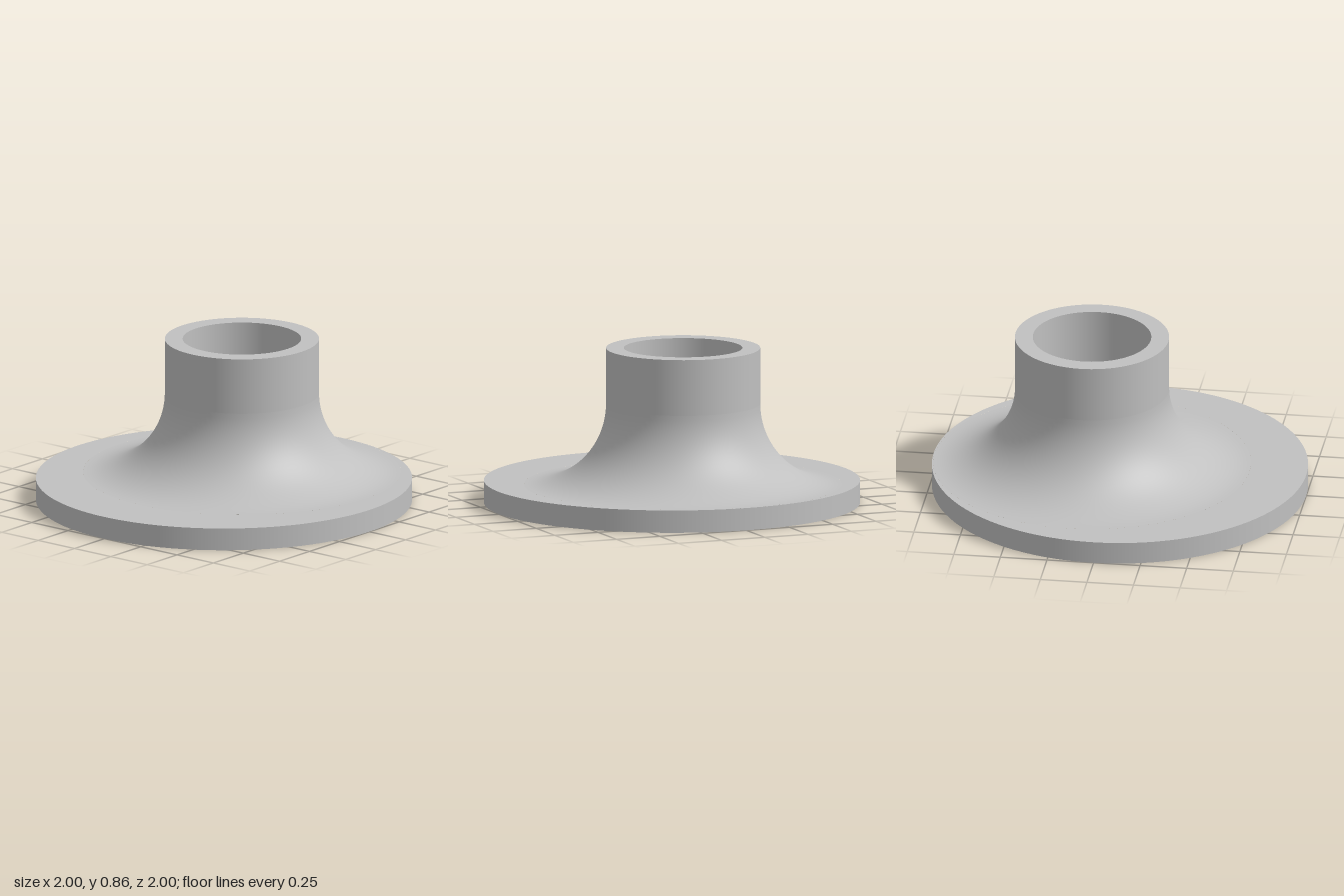
import * as THREE from 'three';

const SEG = 96;
const FLANGE_R = 1, FLANGE_H = 0.12, TOP = 0.855;
const HUB_X = 0.15, HUB_R = 0.41, BORE_R = 0.315, FILLET = 0.435;

export function createModel() {
  const group = new THREE.Group();
  const metal = new THREE.MeshStandardMaterial({ color: 0xc0c0c0 });
  metal.name = 'grey metal';

  const add = (name, geometry, x = 0, y = 0) => {
    const mesh = new THREE.Mesh(geometry, metal);
    mesh.name = name;
    mesh.position.set(x, y, 0);
    group.add(mesh);
  };
  // Separate lathes keep the rims sharp
  const lathe = (points) =>
    new THREE.LatheGeometry(points.map(([r, y]) => new THREE.Vector2(r, y)), SEG);
  // Flange face with a hole around the offset hub axis
  const face = (holeRadius, turn) => {
    const shape = new THREE.Shape().absarc(0, 0, FLANGE_R, 0, Math.PI * 2, false);
    shape.holes.push(new THREE.Path().absarc(HUB_X, 0, holeRadius, 0, Math.PI * 2, true));
    return new THREE.ShapeGeometry(shape, SEG).rotateX(turn);
  };

  // Round flange
  add('flangeRim', lathe([[FLANGE_R, 0], [FLANGE_R, FLANGE_H]]));
  add('flangeTop', face(HUB_R + FILLET, -Math.PI / 2), 0, FLANGE_H);
  add('flangeBottom', face(BORE_R, Math.PI / 2));

  // Flared neck rising into the straight tube
  const profile = [];
  for (let i = 0; i <= 24; i++) {
    const a = (i / 24) * Math.PI / 2;
    profile.push([
      HUB_R + FILLET * (1 - Math.sin(a)),
      FLANGE_H + FILLET * (1 - Math.cos(a)),
    ]);
  }
  add('flaredNeck', lathe(profile), HUB_X);
  add('tubeWall', lathe([[HUB_R, FLANGE_H + FILLET], [HUB_R, TOP]]), HUB_X);

  // Tube rim and through bore
  add('tubeRim', lathe([[HUB_R, TOP], [BORE_R, TOP]]), HUB_X);
  add('bore', lathe([[BORE_R, TOP], [BORE_R, 0]]), HUB_X);

  return group;
}
